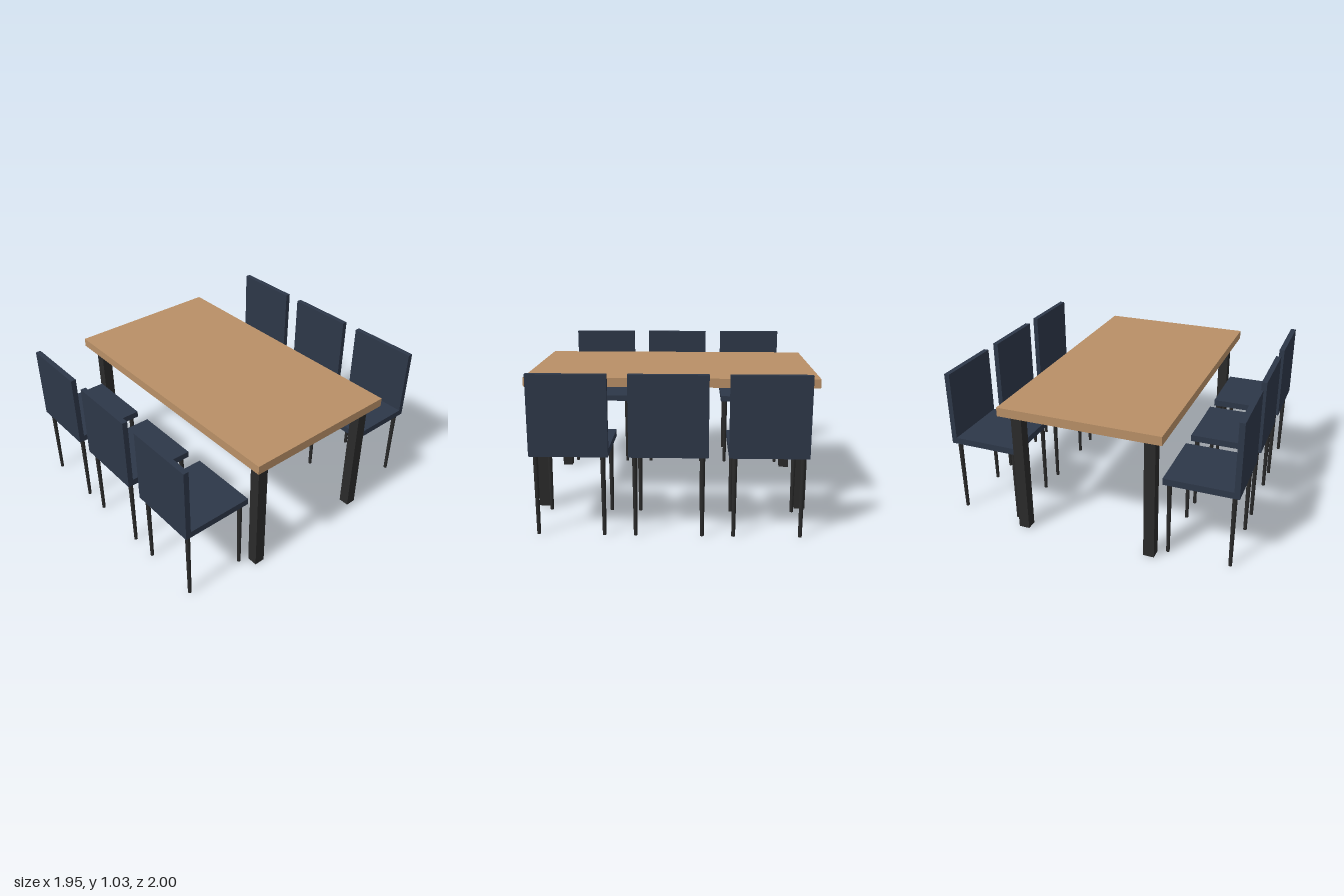
import * as THREE from 'three';

function material(name, color) {
  const m = new THREE.MeshStandardMaterial({ color });
  m.name = name;
  return m;
}

export function createModel() {
  const wood = material('oak wood', 0xb88f66);
  const fabric = material('navy fabric', 0x2d3748);
  const black = material('black legs', 0x2a2a2a);

  const add = (parent, name, geometry, mat, x, y, z) => {
    const mesh = new THREE.Mesh(geometry, mat);
    mesh.name = name;
    mesh.position.set(x, y, z);
    parent.add(mesh);
  };

  const model = new THREE.Group();
  model.name = 'diningSet';

  // Table: slab top on four square legs
  const table = new THREE.Group();
  table.name = 'table';
  model.add(table);
  add(table, 'tableTop', new THREE.BoxGeometry(1.95, 0.06, 1.096), wood, 0, 0.886, 0);
  const tableLeg = new THREE.BoxGeometry(0.073, 0.856, 0.073);
  for (const sx of [-1, 1])
    for (const sz of [-1, 1])
      add(table, 'tableLeg', tableLeg, black, sx * 0.878, 0.428, sz * 0.451);

  // Chair: seat, upright back at local +z, four tapered round legs
  const seat = new THREE.BoxGeometry(0.486, 0.044, 0.486);
  const back = new THREE.BoxGeometry(0.486, 0.465, 0.036);
  const chairLeg = new THREE.CylinderGeometry(0.016, 0.012, 0.517, 8);
  const makeChair = () => {
    const chair = new THREE.Group();
    chair.name = 'chair';
    add(chair, 'seat', seat, fabric, 0, 0.539, 0);
    add(chair, 'backrest', back, fabric, 0, 0.7935, 0.225);
    for (const sx of [-1, 1])
      for (const sz of [-1, 1])
        add(chair, 'chairLeg', chairLeg, black, sx * 0.207, 0.2585, sz * 0.207);
    return chair;
  };

  // Three chairs along each long side, facing the table
  for (const side of [-1, 1])
    for (const x of [-0.609, 0, 0.609]) {
      const chair = makeChair();
      chair.position.set(x, 0, side * 0.757);
      if (side < 0) chair.rotation.y = Math.PI;
      model.add(chair);
    }

  return model;
}
